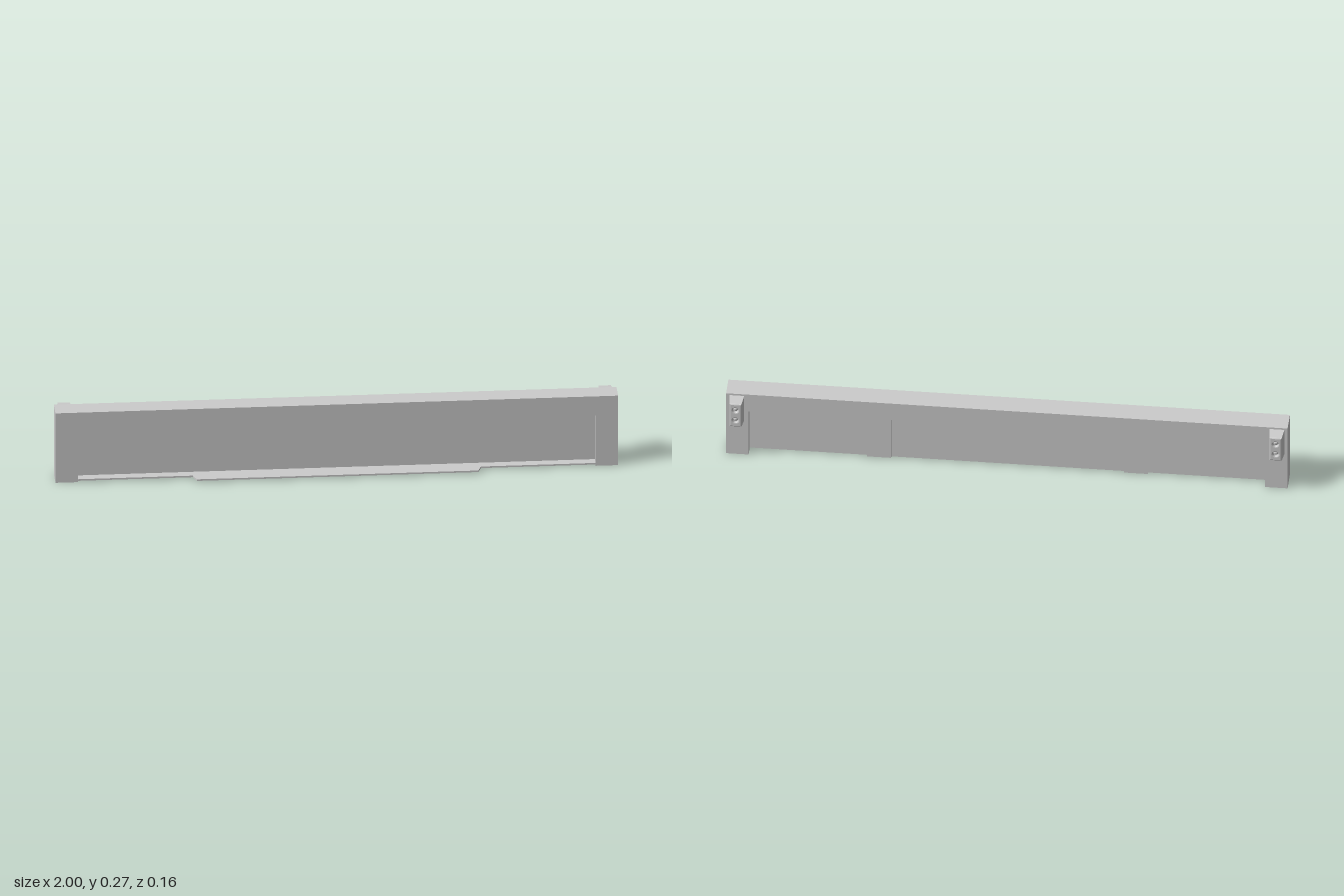
import * as THREE from 'three';

const material = new THREE.MeshStandardMaterial({ color: 0xcccccc, flatShading: true });

function polygon(points) {
  return new THREE.Shape(points.map(([x, y]) => new THREE.Vector2(x, y)));
}

function add(parent, name, geometry, x = 0, y = 0, z = 0) {
  const mesh = new THREE.Mesh(geometry, material);
  mesh.name = name;
  mesh.position.set(x, y, z);
  parent.add(mesh);
  return mesh;
}

// Tapered, chamfered housing with two round sockets, built facing +z
function lampHousingGeometry() {
  const w = 0.0265, h = 0.054, depth = 0.043, bevel = 0.004;
  const shape = polygon([[-w, -h], [w, -h], [w, h], [-w, h]]);
  for (const y of [-0.022, 0.022]) {
    shape.holes.push(new THREE.Path().absarc(0, y, 0.01, 0, Math.PI * 2, true));
  }
  const geometry = new THREE.ExtrudeGeometry(shape, {
    depth, bevelThickness: bevel, bevelSize: bevel, bevelOffset: -bevel, bevelSegments: 2, curveSegments: 12,
  });
  // Taper the outer walls only, so the sockets stay round
  const p = geometry.attributes.position;
  for (let i = 0; i < p.count; i++) {
    if (Math.abs(p.getX(i)) < 0.017) continue;
    const t = Math.max(0, p.getZ(i) / (depth + bevel));
    p.setX(i, p.getX(i) * (1 - 0.2 * t));
    p.setY(i, p.getY(i) * (1 - 0.08 * t));
  }
  geometry.computeVertexNormals();
  return geometry;
}

export function createModel() {
  const model = new THREE.Group();
  model.name = 'framedPanel';

  // Frame: two jambs and a head, open at the bottom
  const frame = polygon([
    [-1, 0], [-0.92, 0], [-0.92, 0.193], [0.92, 0.193],
    [0.92, 0], [1, 0], [1, 0.267], [-1, 0.267],
  ]);
  add(model, 'frame', new THREE.ExtrudeGeometry(frame, { depth: 0.08, bevelEnabled: false }), 0, 0, -0.033);

  // Thin panel recessed on both sides
  add(model, 'panel', new THREE.BoxGeometry(1.84, 0.188, 0.01), 0, 0.099, 0.007);

  // Sill with a tapered lip in front
  const sill = polygon([
    [-0.92, 0.007], [0.92, 0.007], [0.92, 0.047], [0.512, 0.047],
    [0.5, 0.082], [-0.5, 0.082], [-0.512, 0.047], [-0.92, 0.047],
  ]);
  const sillGeometry = new THREE.ExtrudeGeometry(sill, { depth: 0.006, bevelEnabled: false });
  sillGeometry.rotateX(Math.PI / 2);
  add(model, 'sill', sillGeometry, 0, 0.011, 0);

  const housing = lampHousingGeometry();
  const lens = new THREE.SphereGeometry(0.0105, 16, 10);
  for (const side of [-1, 1]) {
    // Flat stiffener on the back of the panel
    add(model, 'backStrip', new THREE.BoxGeometry(0.085, 0.188, 0.01), side * 0.4575, 0.099, -0.002);

    // Twin lamp at the back of each jamb
    const lamp = new THREE.Group();
    lamp.name = side > 0 ? 'leftLamp' : 'rightLamp';
    lamp.position.set(side * 0.962, 0.206, -0.033);
    lamp.rotation.y = Math.PI;
    add(lamp, 'lampHousing', housing);
    for (const y of [-0.022, 0.022]) add(lamp, 'lens', lens, 0, y, 0.031);
    model.add(lamp);
  }
  return model;
}
